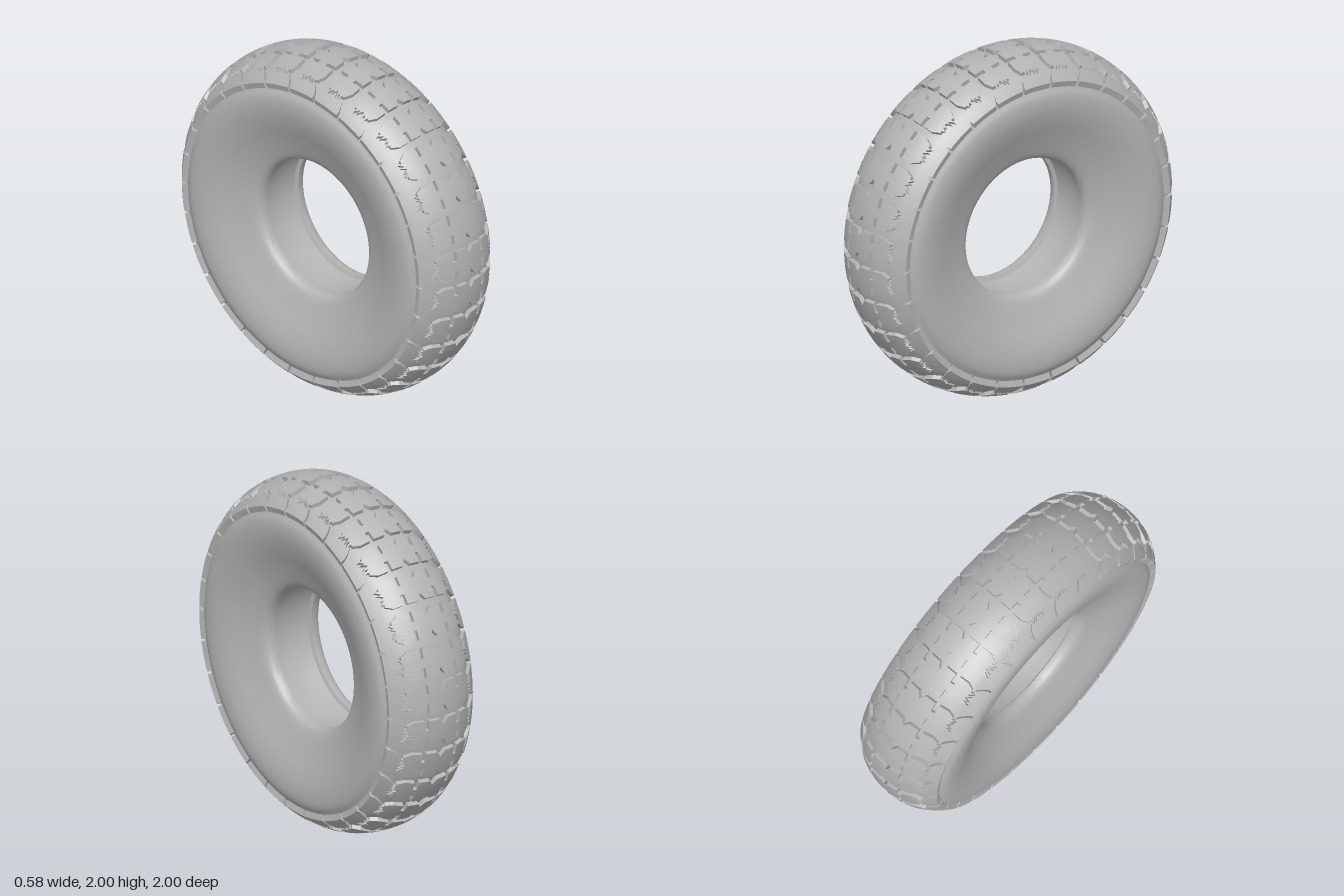
import * as THREE from 'three';
import { toCreasedNormals } from 'three/addons/utils/BufferGeometryUtils.js';

const DEG = Math.PI / 180;

// Radius of the tread's outer surface at distance x from the centre line
const treadRadius = x => 1 - 1.15 * x * x - 6 * x ** 4;

// Closed cross-section (radius, x), revolved about the x axis
function carcassGeometry() {
  const crown = [];
  for (let i = 0; i <= 7; i++) {
    const x = i * 0.03;
    crown.push(new THREE.Vector2(treadRadius(x) - 0.025, x));
  }
  const wall = new THREE.SplineCurve([
    [0.911, 0.21], [0.875, 0.25], [0.84, 0.268], [0.81, 0.284], [0.77, 0.29], [0.71, 0.286],
    [0.63, 0.265], [0.55, 0.234], [0.47, 0.204], [0.43, 0.188], [0.405, 0.172], [0.392, 0.15]
  ].map(p => new THREE.Vector2(...p))).getPoints(33).slice(1);
  const bead = [[0.392, 0.12], [0.412, 0.112], [0.418, 0.06], [0.42, 0]].map(p => new THREE.Vector2(...p));
  const half = [...crown, ...wall, ...bead];
  const mirrored = half.slice(1, -1).reverse().map(p => new THREE.Vector2(p.x, -p.y));
  const start = half[half.length - 1].clone();
  const geo = new THREE.LatheGeometry([start, ...mirrored, ...half], 120);
  geo.rotateZ(-Math.PI / 2);
  return toCreasedNormals(geo, 0.6);
}

// Raised tread piece: rows of [angle in degrees, inner x, outer x], wrapped on the tread surface
function addPiece(out, rows, n, side) {
  const point = (i, j, low) => {
    const [a, x0, x1] = rows[i];
    const x = x0 + (x1 - x0) * j / n;
    const r = treadRadius(x) - (low ? 0.042 : 0);
    return [side * x * (low ? 0.95 : 1), r * Math.cos(a * DEG), r * Math.sin(a * DEG)];
  };
  const quad = (a, b, c, d) => {
    const [p, q, r, s] = side > 0 ? [a, b, c, d] : [d, c, b, a];
    out.push(...p, ...q, ...r, ...p, ...r, ...s);
  };
  const wall = (i, j, k, l) => quad(point(k, l), point(i, j), point(i, j, true), point(k, l, true));
  const m = rows.length - 1;
  for (let i = 0; i < m; i++) {
    for (let j = 0; j < n; j++) quad(point(i, j), point(i + 1, j), point(i + 1, j + 1), point(i, j + 1));
    wall(i, 0, i + 1, 0);
    wall(i + 1, n, i, n);
  }
  for (let j = 0; j < n; j++) {
    wall(m, j, m, j + 1);
    wall(0, j + 1, 0, j);
  }
}

// Complete a row list given for angles >= 0 with its mirror image
const bothWays = rows => [...rows.slice(1).reverse().map(([a, x0, x1]) => [-a, x0, x1]), ...rows];

function geometryOf(...pieces) {
  const pos = [];
  for (const [rows, n] of pieces) for (const side of [1, -1]) addPiece(pos, bothWays(rows), n, side);
  const geo = new THREE.BufferGeometry();
  geo.setAttribute('position', new THREE.Float32BufferAttribute(pos, 3));
  return toCreasedNormals(geo, 0.45);
}

export function createModel() {
  const rubber = new THREE.MeshStandardMaterial({ color: 0xb3b3b3 });
  rubber.name = 'grey rubber';

  const tyre = new THREE.Group();
  tyre.name = 'tyre';
  const carcass = new THREE.Mesh(carcassGeometry(), rubber);
  carcass.name = 'carcass';
  tyre.add(carcass);

  // Centre block: V notches at the middle, part-depth slots, zigzag outer edge
  const centreGeo = geometryOf(
    [[[0, 0, 0.09], [1.6, 0, 0.09], [2.6, 0, 0.09], [4.75, 0.024, 0.09]], 3],
    [[[0, 0.09, 0.114], [1.5, 0.09, 0.114]], 1],
    [[[0, 0.114, 0.192], [1.0, 0.114, 0.214], [1.15, 0.114, 0.198], [2.3, 0.114, 0.218],
      [2.45, 0.114, 0.202], [3.3, 0.114, 0.204], [4.75, 0.114, 0.168]], 4]
  );

  // Shoulder lug: flared towards the sidewall, zigzag inner edge
  const lugGeo = geometryOf(
    [[[0, 0.206, 0.278], [1.0, 0.228, 0.278], [1.15, 0.212, 0.278], [2.3, 0.232, 0.278],
      [2.45, 0.216, 0.278], [3.3, 0.218, 0.278], [4.6, 0.24, 0.278], [5.5, 0.262, 0.278]], 4]
  );

  const count = 30;
  for (let i = 0; i < count; i++) {
    const pitch = new THREE.Group();
    pitch.name = 'treadPitch';
    const block = new THREE.Mesh(centreGeo, rubber);
    block.name = 'centreBlock';
    const lugs = new THREE.Mesh(lugGeo, rubber);
    lugs.name = 'shoulderLugs';
    pitch.add(block, lugs);
    pitch.rotation.x = i * 2 * Math.PI / count;
    tyre.add(pitch);
  }

  tyre.position.y = 1;
  const model = new THREE.Group();
  model.name = 'tyreModel';
  model.add(tyre);
  return model;
}
